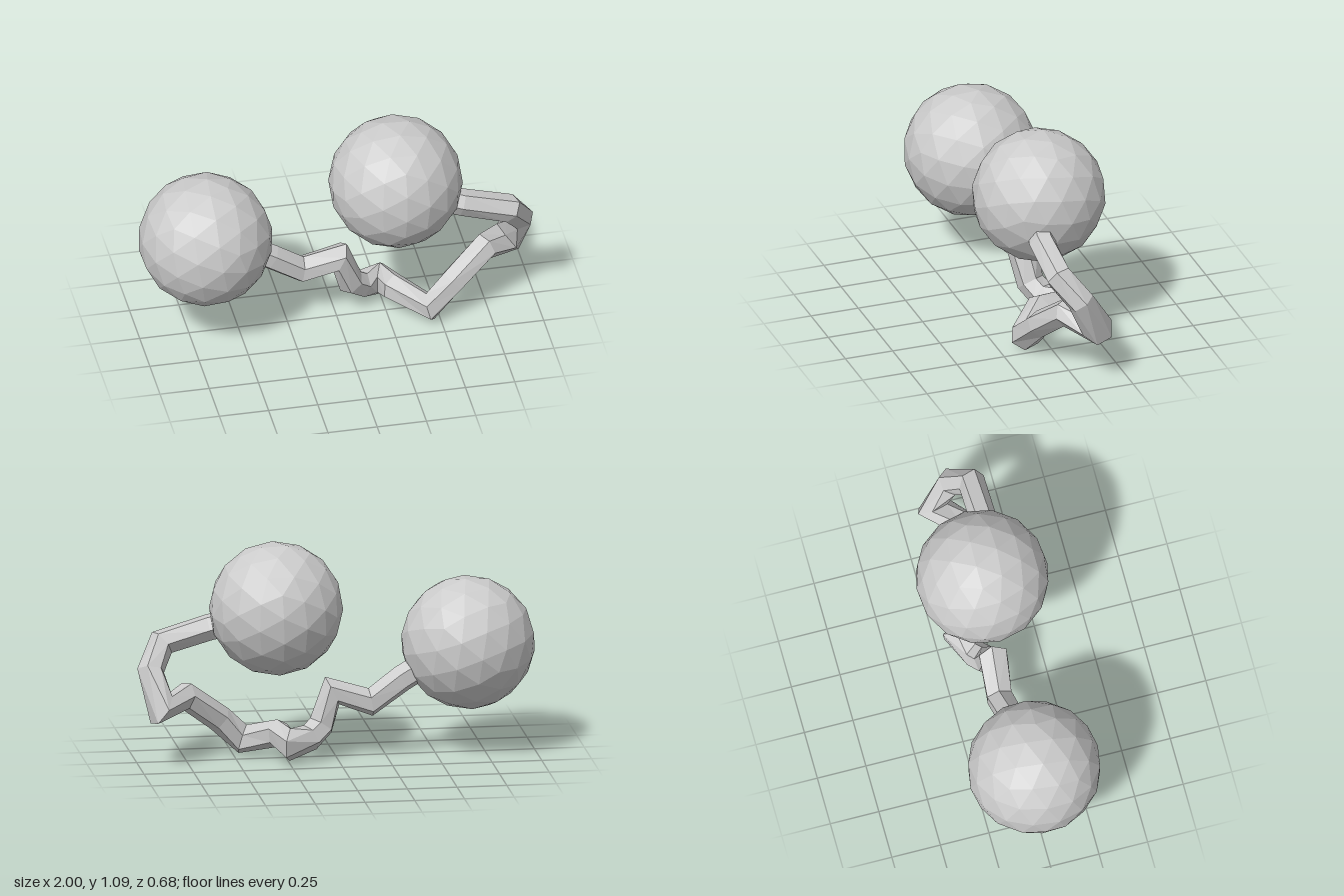
import * as THREE from 'three';

const material = new THREE.MeshStandardMaterial({ color: 0xcccccc, flatShading: true });

// Faceted ball
function makeBall(name, x, y, z, turn) {
  const ball = new THREE.Mesh(new THREE.IcosahedronGeometry(0.335, 2), material);
  ball.name = name;
  ball.position.set(x, y, z);
  ball.rotation.set(turn, turn * 1.7, turn * 0.6);
  return ball;
}

// Angular cord: a polygonal ring at each bend, joined by quads and capped at both ends
function cordGeometry(points, radius, sides) {
  const positions = [];
  const index = [];
  const normal = new THREE.Vector3(0, 1, 0);
  const last = points.length - 1;
  points.forEach((p, i) => {
    const before = p.clone().sub(points[Math.max(i - 1, 0)]).normalize();
    const after = points[Math.min(i + 1, last)].clone().sub(p).normalize();
    const tangent = before.clone().add(after).normalize();
    // Widen the ring at sharp bends so the cord keeps its thickness
    const cosHalf = Math.max(tangent.dot(i === 0 ? after : before), 0.5);
    const r = radius / Math.sqrt(cosHalf);
    normal.addScaledVector(tangent, -normal.dot(tangent)).normalize();
    const binormal = tangent.clone().cross(normal);
    for (let j = 0; j < sides; j++) {
      const a = (j / sides) * Math.PI * 2;
      const v = p.clone()
        .addScaledVector(normal, r * Math.cos(a))
        .addScaledVector(binormal, r * Math.sin(a));
      positions.push(v.x, v.y, v.z);
    }
  });
  for (let i = 0; i < last; i++) {
    for (let j = 0; j < sides; j++) {
      const k = (j + 1) % sides;
      const a = i * sides + j, b = i * sides + k;
      index.push(a, b, b + sides, a, b + sides, a + sides);
    }
  }
  for (let j = 1; j < sides - 1; j++) {
    const e = last * sides;
    index.push(0, j + 1, j, e, e + j, e + j + 1);
  }
  const geometry = new THREE.BufferGeometry();
  geometry.setAttribute('position', new THREE.Float32BufferAttribute(positions, 3));
  geometry.setIndex(index);
  geometry.computeVertexNormals();
  return geometry;
}

export function createModel() {
  const group = new THREE.Group();
  group.name = 'cordedBalls';

  group.add(makeBall('rightBall', -0.667, 0.558, 0.005, 0.3));
  group.add(makeBall('leftBall', 0.3, 0.767, -0.005, 0.9));

  // Cord wandering from one ball to the other
  const path = [
    [-0.43, 0.45, -0.02], [-0.33, 0.39, -0.02], [-0.17, 0.28, -0.04], [0.02, 0.34, -0.02],
    [0.08, 0.17, -0.04], [0.14, 0.12, -0.08], [0.25, 0.10, -0.14],
    [0.29, 0.13, -0.01], [0.45, 0.075, 0.12], [0.57, 0.19, 0.09],
    [0.75, 0.33, 0.02], [0.89, 0.29, -0.10], [0.93, 0.47, 0.0],
    [0.86, 0.59, 0.09], [0.62, 0.66, 0.09], [0.54, 0.68, 0.07],
  ].map((p) => new THREE.Vector3(...p));
  const cord = new THREE.Mesh(cordGeometry(path, 0.068, 6), material);
  cord.name = 'cord';
  group.add(cord);

  return group;
}
